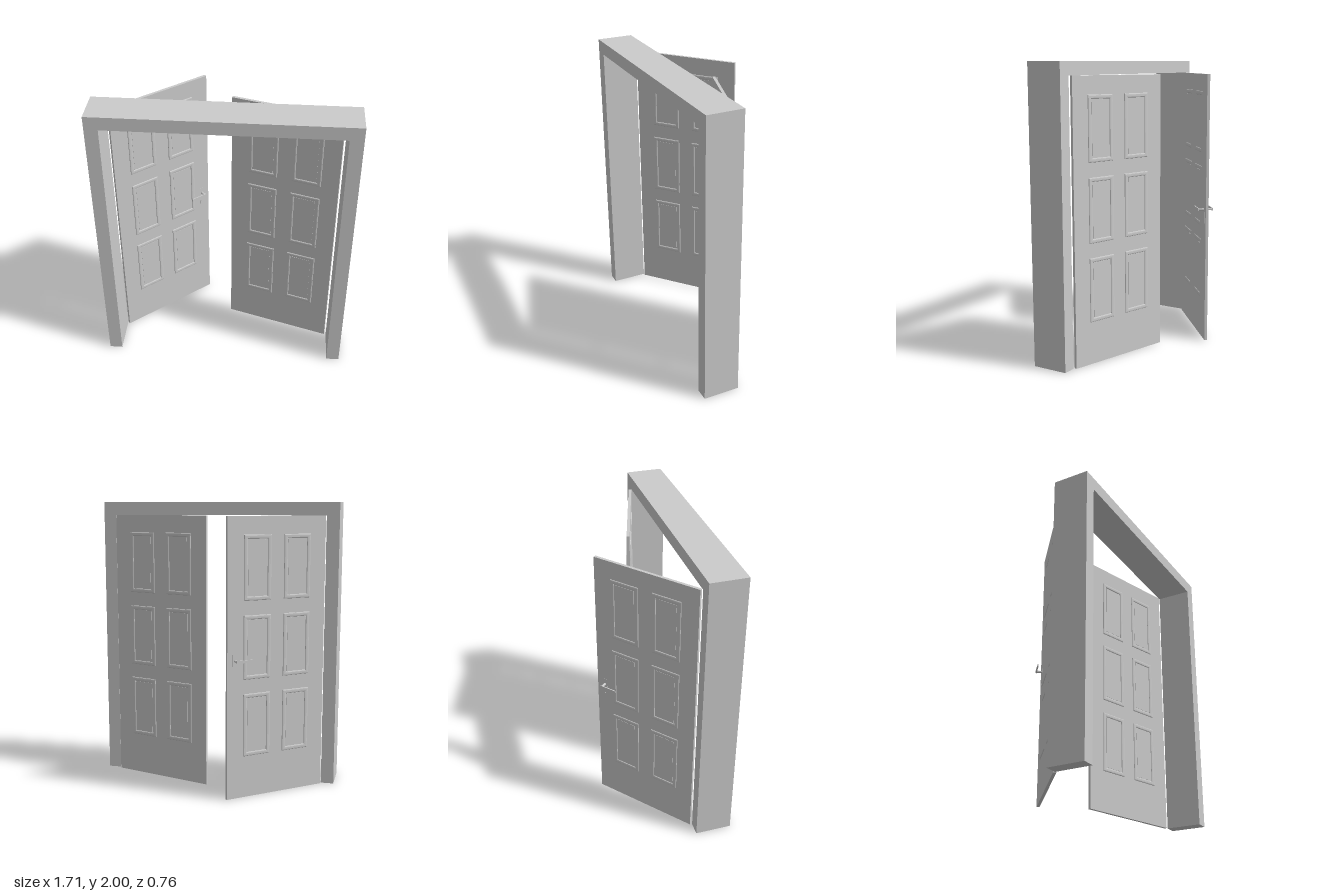
import * as THREE from 'three';

const material = new THREE.MeshStandardMaterial({ color: 0xcccccc, flatShading: true });
const W = 0.76, H = 1.91, T = 0.02; // door leaf size

function add(parent, name, geometry, x = 0, y = 0, z = 0) {
  const mesh = new THREE.Mesh(geometry, material);
  mesh.name = name;
  mesh.position.set(x, y, z);
  parent.add(mesh);
  return mesh;
}

function rectPath(path, w, h) {
  path.moveTo(-w / 2, -h / 2);
  path.lineTo(w / 2, -h / 2);
  path.lineTo(w / 2, h / 2);
  path.lineTo(-w / 2, h / 2);
  path.closePath();
  return path;
}

// Bevelled rectangular moulding that stands proud of both door faces
function mouldingGeometry(w, h) {
  const band = 0.028, bevel = 0.008, rise = 0.005;
  const shape = rectPath(new THREE.Shape(), w - 2 * bevel, h - 2 * bevel);
  const inner = 2 * (band - bevel);
  shape.holes.push(rectPath(new THREE.Path(), w - inner, h - inner));
  const geometry = new THREE.ExtrudeGeometry(shape, {
    depth: T, bevelEnabled: true, bevelThickness: rise, bevelSize: bevel, bevelSegments: 2,
  });
  return geometry.translate(0, 0, -T / 2);
}

// Leaf runs along +x from its hinge edge
function makeDoor(name) {
  const door = new THREE.Group();
  door.name = name;
  add(door, 'leaf', new THREE.BoxGeometry(W, H, T), W / 2, H / 2, 0);
  const w = 0.208, h = 0.434;
  const moulding = mouldingGeometry(w, h);
  const field = new THREE.BoxGeometry(w - 0.064, h - 0.064, T + 0.003);
  for (const x of [0.226, 0.534]) {
    for (const y of [0.507, 1.04, 1.572]) {
      add(door, 'panelMoulding', moulding, x, y, 0);
      add(door, 'panelField', field, x, y, 0);
    }
  }
  return door;
}

// Lever handles on both faces, sharing one spindle
function makeHandle() {
  const handle = new THREE.Group();
  handle.name = 'handle';
  add(handle, 'backPlate', new THREE.BoxGeometry(0.034, 0.15, T + 0.002), 0, -0.03, 0);
  const spindle = new THREE.CylinderGeometry(0.008, 0.008, 0.106, 12).rotateX(Math.PI / 2);
  add(handle, 'spindle', spindle);
  for (const side of [-1, 1]) {
    add(handle, 'lever', new THREE.BoxGeometry(0.118, 0.018, 0.007), -0.051, 0, side * 0.051);
    const keyhole = new THREE.CylinderGeometry(0.005, 0.005, 0.002, 10).rotateX(Math.PI / 2);
    add(handle, 'keyhole', keyhole, 0, -0.075, side * (T / 2 + 0.002));
  }
  return handle;
}

export function createModel() {
  const group = new THREE.Group();
  group.name = 'doubleDoor';

  // Door frame: two jambs and a head in one piece
  const outline = [[-0.855, 0], [-0.765, 0], [-0.765, H], [0.765, H],
    [0.765, 0], [0.855, 0], [0.855, 2], [-0.855, 2]];
  const shape = new THREE.Shape(outline.map(([x, y]) => new THREE.Vector2(x, y)));
  add(group, 'doorFrame', new THREE.ExtrudeGeometry(shape, { depth: 0.25, bevelEnabled: false }), 0, 0, 0.128);

  // Both leaves swing towards the back by different angles
  const rightDoor = makeDoor('rightDoor');
  rightDoor.position.set(-0.756, 0, 0.12);
  rightDoor.rotation.y = THREE.MathUtils.degToRad(40.6);
  const handle = makeHandle();
  handle.position.set(0.702, 0.956, 0);
  rightDoor.add(handle);

  const leftDoor = makeDoor('leftDoor');
  leftDoor.position.set(0.754, 0, 0.118);
  leftDoor.rotation.y = Math.PI - THREE.MathUtils.degToRad(16.7);

  group.add(rightDoor, leftDoor);
  return group;
}
